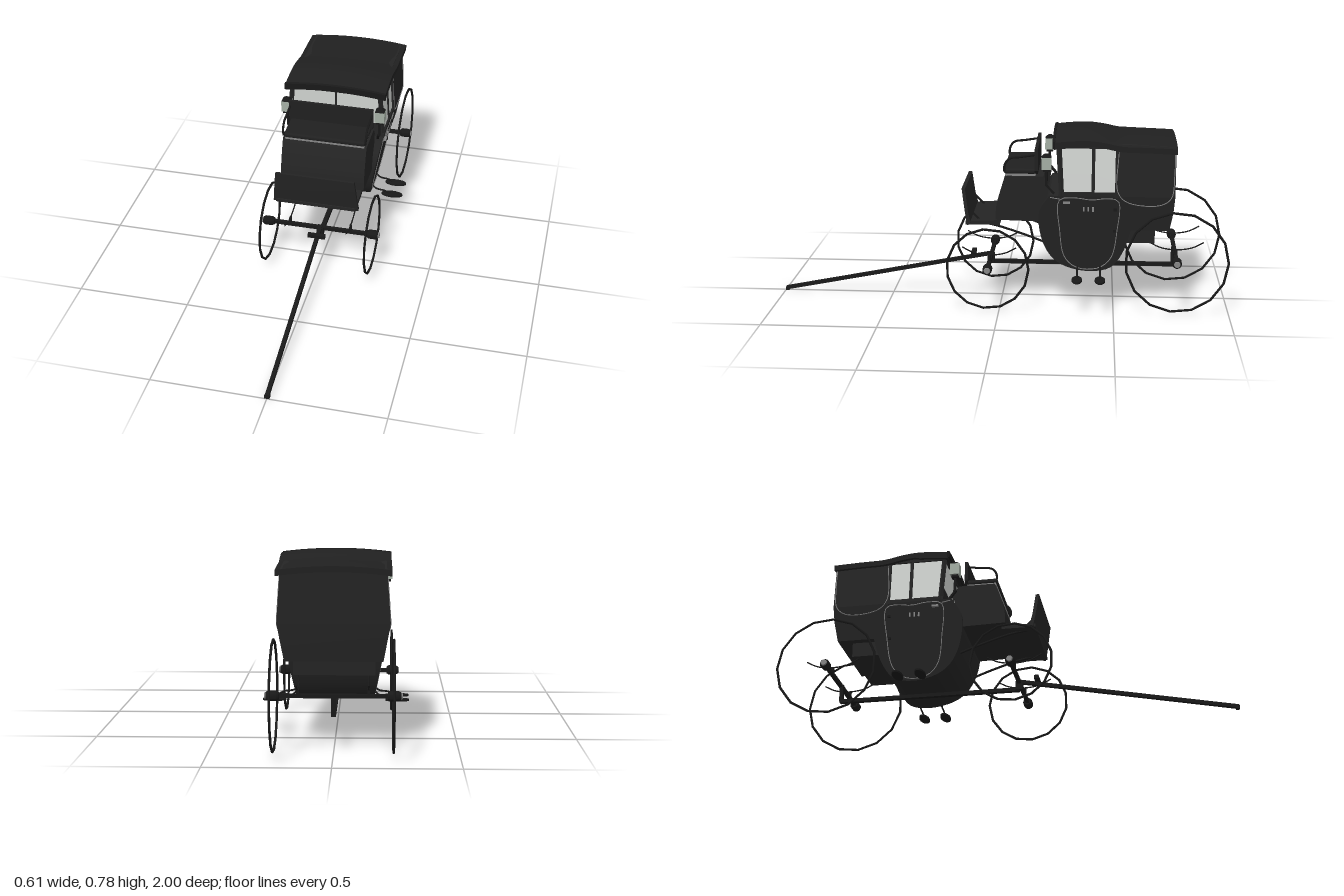
import * as THREE from 'three';
import { toCreasedNormals } from 'three/addons/utils/BufferGeometryUtils.js';
import { RoundedBoxGeometry } from 'three/addons/geometries/RoundedBoxGeometry.js';

const mat = (name, color) => {
  const m = new THREE.MeshStandardMaterial({ color });
  m.name = name;
  return m;
};

export function createModel() {
  const root = new THREE.Group();
  root.name = 'carriage';
  const paint = mat('black paint', 0x242424);
  const leather = mat('dark leather', 0x202020);
  const iron = mat('black iron', 0x191919);
  const glass = mat('window glass', 0xd2d5d2);
  const lampGlass = mat('lamp glass', 0xa4afa4);
  const trim = mat('grey trim', 0x858585);

  const add = (name, geo, material, x = 0, y = 0, z = 0, parent = root) => {
    const m = new THREE.Mesh(geo, material);
    m.name = name;
    m.position.set(x, y, z);
    parent.add(m);
    return m;
  };
  const box = (name, w, h, d, material, x, y, z) =>
    add(name, new THREE.BoxGeometry(w, h, d), material, x, y, z);
  const V = (x, y, z) => new THREE.Vector3(x, y, z);
  const tube = (name, pts, r, material, closed = false, seg = 20) =>
    add(name, new THREE.TubeGeometry(new THREE.CatmullRomCurve3(pts, closed, 'centripetal'), seg, r, 6, closed), material);
  const bar = (name, a, b, w, h, material) => {
    const m = add(name, new THREE.BoxGeometry(w, h, a.distanceTo(b)), material);
    m.position.copy(a).add(b).multiplyScalar(0.5);
    m.lookAt(b);
    return m;
  };

  // Half width of the coach body at a given height
  const halfW = (y) => (y < 0.52 ? 0.16 + (y - 0.165) * 0.183 : 0.225 - (y - 0.52) * 0.07);

  // Side profile [z, y] spread across x, with width and crown rules
  const hull = (name, pts, material, width, crown = 0, smooth = true) => {
    const shape = new THREE.Shape(pts.map(([z, y]) => new THREE.Vector2(z, y)));
    let g = new THREE.ExtrudeGeometry(shape, { depth: 2, steps: crown ? 12 : 1, bevelEnabled: false });
    g.translate(0, 0, -1).rotateY(-Math.PI / 2);
    const p = g.attributes.position;
    for (let i = 0; i < p.count; i++) {
      const u = p.getX(i), y = p.getY(i);
      p.setXYZ(i, u * width(y), y - crown * u * u, p.getZ(i));
    }
    g.computeVertexNormals();
    if (smooth) g = toCreasedNormals(g, 0.6);
    return add(name, g, material);
  };
  const smoothLine = (pts, n) =>
    new THREE.SplineCurve(pts.map(([a, b]) => new THREE.Vector2(a, b))).getPoints(n).map((v) => [v.x, v.y]);

  // Coach body
  const belly = smoothLine([[-0.217, 0.52], [-0.172, 0.44], [-0.18, 0.33], [-0.22, 0.24], [-0.287, 0.188],
    [-0.39, 0.166], [-0.485, 0.186], [-0.54, 0.265], [-0.57, 0.365]], 36);
  hull('lowerBody', [...belly, [-0.735, 0.365], [-0.75, 0.45], [-0.755, 0.52]], paint, halfW);
  hull('rearQuarter', [[-0.505, 0.52], [-0.755, 0.52], [-0.755, 0.735], [-0.505, 0.745]], paint, halfW);
  box('rearBoot', 0.33, 0.075, 0.15, paint, 0, 0.337, -0.6);
  hull('windows', [[-0.265, 0.52], [-0.505, 0.52], [-0.505, 0.745], [-0.385, 0.757], [-0.255, 0.745]], glass, (y) => halfW(y) - 0.008);

  // Window frames
  for (const s of [1, -1]) {
    const at = (y, z, out = 0) => V(s * (halfW(y) - 0.008 + out), y, z);
    bar('frontPillar', at(0.515, -0.27), at(0.745, -0.255), 0.018, 0.016, paint);
    bar('middlePillar', at(0.515, -0.404), at(0.75, -0.404), 0.014, 0.012, paint);
    bar('rearPillar', at(0.515, -0.506), at(0.745, -0.506), 0.016, 0.02, paint);
    bar('windowSill', at(0.527, -0.255), at(0.527, -0.51), 0.016, 0.018, paint);
    bar('windowHeader', at(0.732, -0.25), at(0.732, -0.51), 0.016, 0.014, paint);
  }
  box('frontWindowPost', 0.008, 0.23, 0.012, paint, 0, 0.63, -0.26);
  box('frontWindowSill', 0.43, 0.07, 0.014, paint, 0, 0.55, -0.262);
  box('frontWindowHeader', 0.41, 0.02, 0.012, paint, 0, 0.738, -0.256);

  // Crowned roof with an upswept front
  const roofTop = smoothLine([[-0.235, 0.768], [-0.3, 0.775], [-0.38, 0.778], [-0.45, 0.77],
    [-0.53, 0.755], [-0.64, 0.752], [-0.76, 0.747]], 20);
  const lip = (z) => (z > -0.38 ? 0.03 : 0.024);
  hull('roof', [...roofTop, ...roofTop.map(([z, y]) => [z, y - lip(z)]).reverse()], leather, () => 0.23, 0.016);
  hull('roofFrontMoulding', [[-0.228, 0.77], [-0.24, 0.772], [-0.24, 0.74], [-0.228, 0.742]], iron, () => 0.232, 0.015);

  // Driver's box, seat and footboard
  hull('driverBox', [...smoothLine([[-0.022, 0.582], [0.0, 0.52], [0.015, 0.46], [0.018, 0.4]], 10),
    [-0.19, 0.395], [-0.215, 0.56], [-0.19, 0.595], [-0.03, 0.595]], paint, () => 0.19);
  box('seatTrim', 0.36, 0.012, 0.13, trim, 0, 0.6, -0.09);
  add('seatCushion', new RoundedBoxGeometry(0.37, 0.022, 0.14, 2, 0.009), leather, 0, 0.615, -0.088);
  const back = new THREE.Shape();
  back.moveTo(-0.192, 0.715).lineTo(-0.192, 0.62).lineTo(-0.177, 0.603).lineTo(0.177, 0.603)
    .lineTo(0.192, 0.62).lineTo(0.192, 0.715);
  add('seatBack', new THREE.ExtrudeGeometry(back, { depth: 0.014, bevelEnabled: false }), leather, 0, 0, -0.165);
  hull('footboard', [[0.15, 0.388], [0.15, 0.374], [0.0, 0.374], [0.0, 0.396]], paint, () => 0.18, 0, false);
  hull('dashboard', [[0.152, 0.532], [0.167, 0.534], [0.152, 0.43], [0.142, 0.374], [0.125, 0.378], [0.138, 0.43]],
    paint, (y) => 0.192 - (y - 0.374) * 0.1);

  for (const s of [1, -1]) {
    // Side panel trim laid over the tapered body
    const on = (z, y) => V(s * (halfW(y) + 0.001), y, z);
    const line = (name, pts, closed) => tube(name, pts.map(([z, y]) => on(z, y)), 0.002, trim, closed, 48);
    line('doorOutline', [[-0.26, 0.5], [-0.262, 0.36], [-0.285, 0.23], [-0.34, 0.182], [-0.43, 0.182],
      [-0.485, 0.23], [-0.51, 0.36], [-0.512, 0.5], [-0.46, 0.51], [-0.4, 0.503], [-0.32, 0.512]], true);
    line('quarterOutline', [[-0.512, 0.715], [-0.51, 0.54], [-0.55, 0.495], [-0.69, 0.482],
      [-0.738, 0.515], [-0.75, 0.62], [-0.75, 0.715]], false);
    line('beltLine', [[-0.22, 0.512], [-0.26, 0.505]], false);
    for (const z of [-0.365, -0.385, -0.405]) box('doorOrnament', 0.006, 0.02, 0.007, trim, s * (halfW(0.46) + 0.001), 0.46, z);
    for (const y of [0.36, 0.46]) box('doorHinge', 0.01, 0.012, 0.014, iron, s * halfW(y), y, -0.5);
    box('doorHandle', 0.016, 0.008, 0.03, trim, s * (halfW(0.49) + 0.004), 0.49, -0.29);

    // Seat arm rail
    tube('armRail', [V(s * 0.185, 0.615, -0.02), V(s * 0.187, 0.645, -0.022), V(s * 0.187, 0.672, -0.042),
      V(s * 0.187, 0.68, -0.09), V(s * 0.187, 0.69, -0.155)], 0.005, iron);

    // Carriage lamp
    box('lampGlass', 0.044, 0.052, 0.042, lampGlass, s * 0.215, 0.662, -0.203);
    box('lampBase', 0.03, 0.012, 0.03, iron, s * 0.215, 0.631, -0.203);
    const cap = add('lampCap', new THREE.CylinderGeometry(0.01, 0.03, 0.014, 4), iron, s * 0.215, 0.695, -0.203);
    cap.rotation.y = Math.PI / 4;
    add('lampStem', new THREE.CylinderGeometry(0.006, 0.006, 0.07, 8), iron, s * 0.212, 0.595, -0.203);
    bar('lampBracket', V(s * 0.21, 0.565, -0.2), V(s * 0.2, 0.525, -0.235), 0.01, 0.01, iron);

    // Oval step plates on curved irons
    for (const z of [-0.34, -0.44]) {
      const step = add('stepPlate', new THREE.CylinderGeometry(0.05, 0.05, 0.008, 20), iron, s * 0.257, 0.153, z);
      step.scale.z = 0.45;
      tube('stepIron', [V(s * 0.155, 0.2, z), V(s * 0.18, 0.175, z), V(s * 0.22, 0.168, z), V(s * 0.25, 0.155, z)], 0.004, iron);
    }

    // Footboard braces
    tube('footboardBrace', [V(s * 0.14, 0.38, 0.12), V(s * 0.14, 0.365, 0.03), V(s * 0.14, 0.325, -0.1),
      V(s * 0.14, 0.292, -0.19)], 0.005, iron);
    bar('dashBrace', V(s * 0.14, 0.385, 0.09), V(s * 0.14, 0.44, 0.145), 0.008, 0.008, iron);
  }

  // Axles, hubs, rims and leaf springs
  for (const [name, z, y, r, springY] of [['front', 0.05, 0.19, 0.179, 0.225], ['rear', -0.77, 0.234, 0.222, 0.265]]) {
    box(name + 'Axle', 0.46, 0.016, 0.016, iron, 0, y, z);
    for (const s of [1, -1]) {
      const rim = add(name + 'WheelRim', new THREE.TorusGeometry(r, 0.0055, 6, 15), iron, s * 0.238, y, z);
      rim.rotation.y = Math.PI / 2;
      const prof = [[0, -0.026], [0.015, -0.026], [0.021, -0.016], [0.021, 0.016], [0.016, 0.026], [0, 0.026]];
      const hub = add(name + 'Hub', toCreasedNormals(new THREE.LatheGeometry(
        prof.map(([a, b]) => new THREE.Vector2(a, b)), 14), 0.5), iron, s * 0.241, y, z);
      hub.rotation.z = -s * Math.PI / 2;
      const capMesh = add(name + 'HubCap', new THREE.CylinderGeometry(0.012, 0.015, 0.008, 14), trim, s * 0.269, y, z);
      capMesh.rotation.z = -s * Math.PI / 2;
      tube(name + 'Spring', [V(s * 0.14, springY + 0.035, z + 0.12), V(s * 0.14, springY + 0.01, z + 0.07),
        V(s * 0.14, springY, z), V(s * 0.14, springY + 0.01, z - 0.07), V(s * 0.14, springY + 0.035, z - 0.12)], 0.003, iron);
      box(name + 'SpringBlock', 0.01, springY - y, 0.014, iron, s * 0.14, (springY + y) / 2, z);
    }
  }

  // Perch beam, crossbar and draught pole
  box('perch', 0.02, 0.016, 0.82, iron, 0, 0.158, -0.36);
  box('perchFrontBlock', 0.03, 0.04, 0.03, iron, 0, 0.175, 0.05);
  box('perchRearPost', 0.02, 0.08, 0.016, iron, 0, 0.198, -0.765);
  box('crossbar', 0.08, 0.016, 0.02, iron, 0, 0.199, 0.13);
  bar('pole', V(0, 0.195, 0.05), V(0, 0.011, 0.995), 0.017, 0.016, iron);
  box('poleTip', 0.022, 0.014, 0.016, iron, 0, 0.008, 0.992);
  return root;
}
